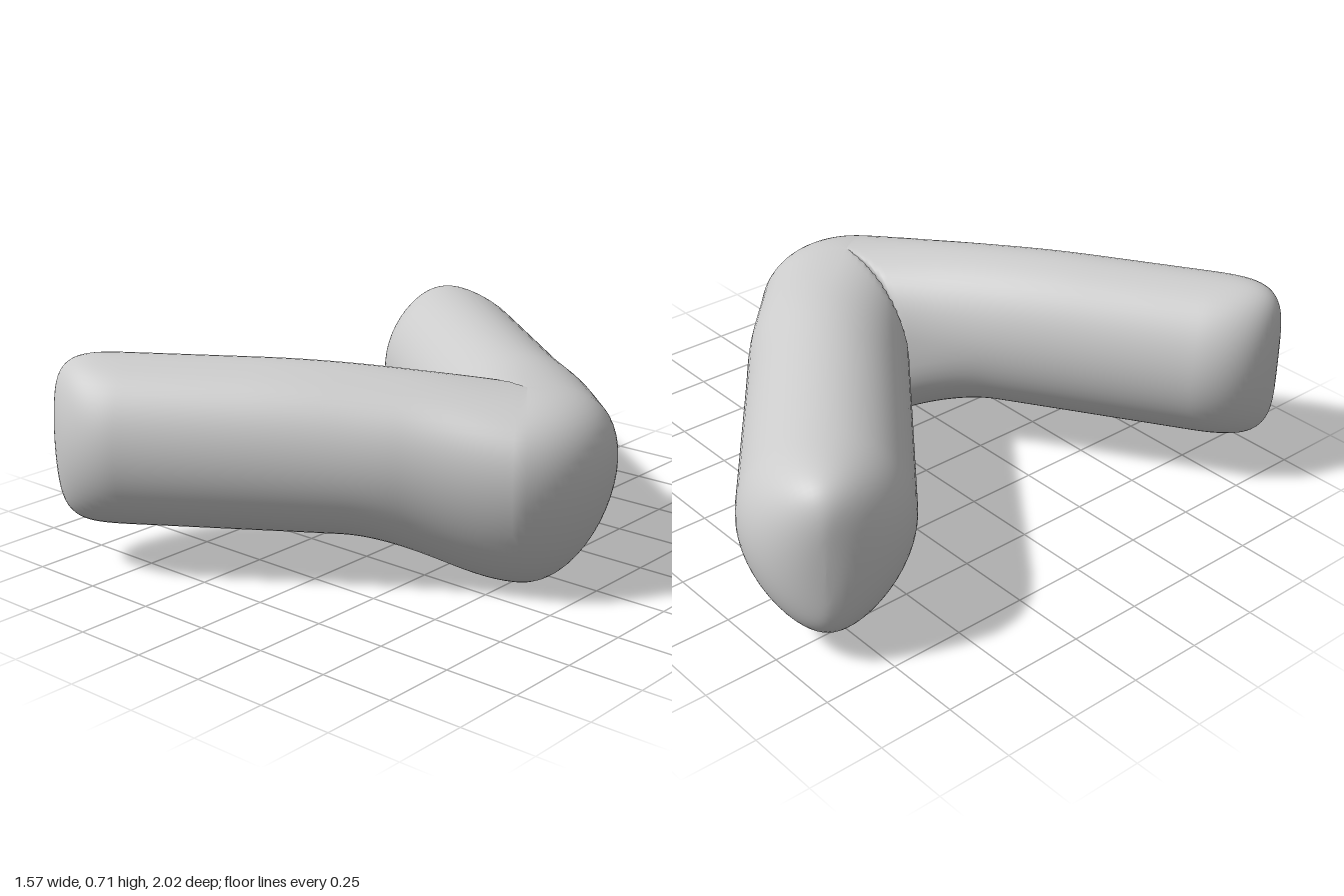
import * as THREE from 'three';

const SIDES = 56;
const MITRE = 0.09; // slope of the plane where the arms meet
const BEND = { x: 0.51, z: 0.065, top: 0.64, bottom: 0, w: 0.275, inner: 0.215, shoulder: 0.027, lift: 0.085 };

// Each arm: axis origin, outward normal angle, direction from the bend, length,
// cap length, heights of top and bottom, half widths outside and inside
const FRONT = { x: 0.56, z: 0.062, angle: 1.0, dx: -0.842, dz: 0.54, length: 1.555, cap: 0.25, top: 0.708, bottom: 0.147, w: 0.237, inner: 0.232 };
const BACK = { x: 0.575, z: 0.035, angle: -0.911, dx: -0.79, dz: -0.613, length: 1.55, cap: 0.32, top: 0.643, bottom: 0.072, w: 0.275, inner: 0.272 };

// Elliptical upright section at distance d from the bend
function section(arm, d, angle) {
  const f = THREE.MathUtils.smoothstep(d, 0, 0.62);      // blend seen from the side
  const g = THREE.MathUtils.smoothstep(d, -0.05, 0.42);  // blend seen from above
  const mix = (key, amount) => THREE.MathUtils.lerp(BEND[key], arm[key], d > 0 ? amount : 0);
  const top = mix('top', Math.sin(Math.min(d / 0.9, 1) * Math.PI / 2));
  const bottom = mix('bottom', f);
  const t = Math.min(1, Math.max(0, (d - arm.length + arm.cap) / arm.cap));
  const round = Math.sqrt(1 - t * t);                              // round cap from above
  const h = (top - bottom) / 2 * Math.pow(1 - t ** 4.5, 1 / 4.5);  // squarer cap from the side
  const shoulder = BEND.shoulder * (angle / arm.angle) ** 2 * (1 - g);
  const outer = (mix('w', g) + shoulder) * round;
  const inner = mix('inner', g) * round;
  const lift = BEND.lift * (1 - f);
  const fullness = 0.5 + 0.5 * f;                                  // fuller inside of the bend
  const nx = Math.cos(angle), nz = Math.sin(angle);
  const side = arm === FRONT ? 1 : -1;
  const ring = [];
  for (let i = 0; i < SIDES; i++) {
    const a = (i / SIDES) * Math.PI * 2;
    const u = Math.cos(a), v = Math.sin(a);
    const reach = u * (u > 0 ? outer : inner);
    const x = mix('x', g) + arm.dx * d + nx * reach;
    let z = mix('z', g) + arm.dz * d + nz * reach;
    const rise = u < 0 ? Math.sign(v) * Math.pow(Math.abs(v), fullness) : v;
    const y = (top + bottom) / 2 + h * rise + (u > 0 ? lift * u * u : 0);
    // keep the inner side on its own side of the mitre plane
    const plane = BEND.z + MITRE * (x - BEND.x);
    if (u < 0 && (z - plane) * side < 0) z = plane;
    ring.push(x, y, z);
  }
  return ring;
}

// Distances from the bend to the tip, closer together in the cap
function stations(arm) {
  const list = [];
  const straight = arm.length - arm.cap;
  for (let i = 0; i < 60; i++) list.push((i / 60) * straight);
  for (let i = 0; i <= 20; i++) list.push(straight + arm.cap * Math.sin((i / 20) * Math.PI / 2));
  return list;
}

function bentBodyGeometry() {
  const rings = [];
  // front arm from its tip to the bend
  for (const d of stations(FRONT).reverse()) rings.push(section(FRONT, d, FRONT.angle));
  // fan of sections around the outside of the bend
  const steps = 24;
  for (let i = 1; i < steps; i++) {
    const angle = THREE.MathUtils.lerp(FRONT.angle, BACK.angle, i / steps);
    const inFront = Math.sin(angle) - MITRE * Math.cos(angle) >= 0;
    rings.push(section(inFront ? FRONT : BACK, 0, angle));
  }
  // back arm from the bend to its tip
  for (const d of stations(BACK)) rings.push(section(BACK, d, BACK.angle));

  const index = [];
  for (let r = 0; r < rings.length - 1; r++) {
    for (let i = 0; i < SIDES; i++) {
      const j = (i + 1) % SIDES;
      const a = r * SIDES + i, b = a + SIDES;
      const c = r * SIDES + j, e = c + SIDES;
      index.push(a, b, c, c, b, e);
    }
  }
  const geometry = new THREE.BufferGeometry();
  geometry.setAttribute('position', new THREE.Float32BufferAttribute(rings.flat(), 3));
  geometry.setIndex(index);
  geometry.computeVertexNormals();
  return geometry;
}

export function createModel() {
  const group = new THREE.Group();
  group.name = 'bentTube';
  const material = new THREE.MeshStandardMaterial({ color: 0xcccccc, side: THREE.DoubleSide });
  const body = new THREE.Mesh(bentBodyGeometry(), material);
  body.name = 'bentBody';
  group.add(body);
  return group;
}
